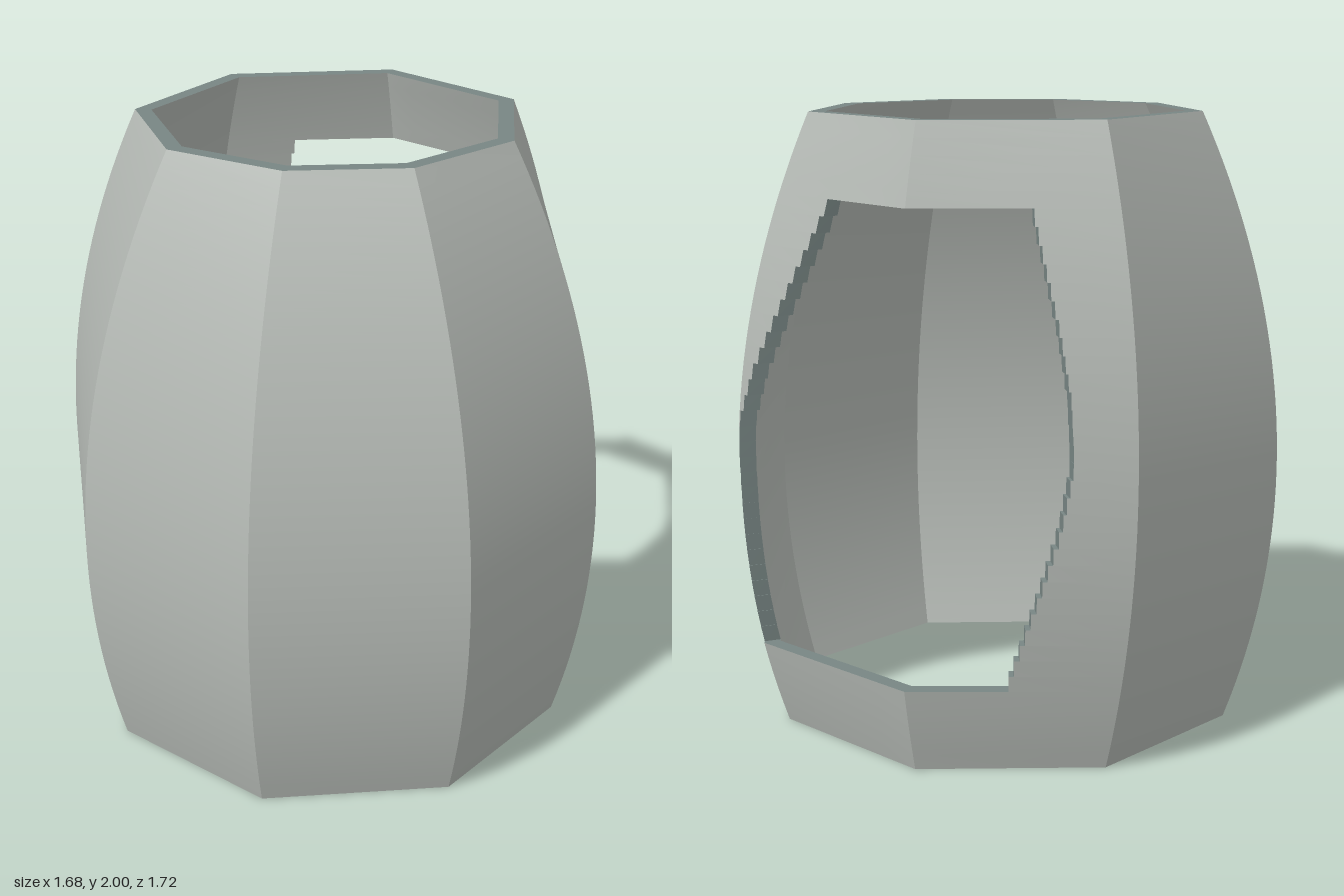
import * as THREE from 'three';
import { toCreasedNormals } from 'three/addons/utils/BufferGeometryUtils.js';

// Corner positions [x, z] of the eight-sided shell at the foot, waist and mouth
const FOOT = [[0.7, -0.27], [0.7, 0.335], [0.28, 0.76], [-0.32, 0.76], [-0.75, 0.335], [-0.75, -0.27], [-0.32, -0.69], [0.28, -0.69]];
const WAIST = [[0.83, -0.32], [0.84, 0.38], [0.315, 0.85], [-0.355, 0.83], [-0.815, 0.36], [-0.83, -0.31], [-0.38, -0.83], [0.34, -0.855]];
const MOUTH = [[0.66, -0.26], [0.6, 0.29], [0.2, 0.565], [-0.22, 0.5], [-0.485, 0.22], [-0.54, -0.19], [-0.275, -0.585], [0.26, -0.65]];
const HEIGHT = 2, THICKNESS = 0.054;

// Window: height, back edge and front edge, measured in corners around the shell
const WINDOW = [[0.28, -0.47, 1.02], [0.6, -0.61, 1.045], [0.8, -0.69, 1.05], [1, -0.74, 1.01], [1.2, -0.73, 0.93], [1.4, -0.69, 0.805], [1.75, -0.59, 0.58]];
const CLOSED = [0.2, 0.2];

// Parabola through foot, waist and mouth
function bulge(a, b, c, y) {
  return a * (y - 1) * (y - 2) / 2 + b * y * (2 - y) + c * y * (y - 1) / 2;
}

function corner(i, y, inner) {
  const k = ((i % 8) + 8) % 8;
  const x = bulge(FOOT[k][0], WAIST[k][0], MOUTH[k][0], y);
  const z = bulge(FOOT[k][1], WAIST[k][1], MOUTH[k][1], y);
  if (!inner) return new THREE.Vector3(x, y, z);
  // inner skin shrinks toward the leaning centre line
  const cx = bulge(-0.025, 0, 0.06, y), cz = bulge(0.035, 0, -0.04, y);
  const f = 1 - THICKNESS / Math.hypot(x - cx, z - cz);
  return new THREE.Vector3(cx + (x - cx) * f, y, cz + (z - cz) * f);
}

function point(s, y, inner = false) {
  const i = Math.floor(s);
  return corner(i, y, inner).lerp(corner(i + 1, y, inner), s - i);
}

function windowAt(y) {
  let i = 0;
  while (i < WINDOW.length - 2 && y > WINDOW[i + 1][0]) i++;
  const [a, b] = [WINDOW[i], WINDOW[i + 1]];
  const t = (y - a[0]) / (b[0] - a[0]);
  return [1, 2].map((k) => a[k] + (b[k] - a[k]) * t);
}

// Cut an interval at the shell corners it crosses
function spans(p, q) {
  const cuts = [p];
  for (let i = Math.floor(p) + 1; i < q; i++) cuts.push(i);
  cuts.push(q);
  return cuts.slice(1).map((c, i) => [cuts[i], c]);
}

function quad(list, a, b, c, d) {
  for (const v of [a, b, c, a, c, d]) list.push(v.x, v.y, v.z);
}

function geometryFrom(list) {
  const geo = new THREE.BufferGeometry();
  geo.setAttribute('position', new THREE.Float32BufferAttribute(list, 3));
  geo.computeVertexNormals();
  return geo;
}

// Horizontal strip across the wall thickness
function ledge(list, p, q, y, up) {
  if (q - p < 1e-5) return;
  for (const [a, b] of spans(p, q)) {
    const pts = [point(a, y), point(a, y, true), point(b, y, true), point(b, y)];
    quad(list, ...(up ? pts : pts.reverse()));
  }
}

export function createModel() {
  const shellGrey = new THREE.MeshStandardMaterial({ color: 0xb5bab5 });
  const edgeGrey = new THREE.MeshStandardMaterial({ color: 0x788684, side: THREE.DoubleSide });
  const outer = [], inner = [], rims = [], frame = [];

  // Stack of rows, each with its own window opening
  const rows = [];
  const addRows = (from, to, n, open) => {
    for (let i = 0; i < n; i++) {
      const y0 = from + (to - from) * i / n, y1 = from + (to - from) * (i + 1) / n;
      rows.push({ y0, y1, gap: open ? windowAt((y0 + y1) / 2) : CLOSED, open });
    }
  };
  addRows(0, 0.28, 5, false);
  addRows(0.28, 1.75, 28, true);
  addRows(1.75, HEIGHT, 5, false);

  rows.forEach(({ y0, y1, gap, open }, r) => {
    // Outer and inner skins
    for (const [p, q] of spans(gap[1], gap[0] + 8)) {
      quad(outer, point(p, y0), point(p, y1), point(q, y1), point(q, y0));
      quad(inner, point(p, y0, true), point(q, y0, true), point(q, y1, true), point(p, y1, true));
    }
    // Upright sides of the window
    if (open) {
      const [b, f] = gap;
      quad(frame, point(b, y0), point(b, y1), point(b, y1, true), point(b, y0, true));
      quad(frame, point(f, y0), point(f, y0, true), point(f, y1, true), point(f, y1));
    }
    // Steps between this row and the next, including the sill and head
    if (r < rows.length - 1) {
      const next = rows[r + 1].gap;
      ledge(frame, Math.min(gap[0], next[0]), Math.max(gap[0], next[0]), y1, next[0] < gap[0]);
      ledge(frame, Math.min(gap[1], next[1]), Math.max(gap[1], next[1]), y1, next[1] > gap[1]);
    }
  });

  // Mouth and foot rims
  ledge(rims, 0, 8, HEIGHT, true);
  ledge(rims, 0, 8, 0, false);

  const group = new THREE.Group();
  group.name = 'barrelShell';
  const add = (name, geo, material) => {
    const mesh = new THREE.Mesh(geo, material);
    mesh.name = name;
    group.add(mesh);
  };
  shellGrey.name = 'shellGrey';
  edgeGrey.name = 'edgeGrey';
  add('outerWall', toCreasedNormals(geometryFrom(outer), 0.4), shellGrey);
  add('innerWall', toCreasedNormals(geometryFrom(inner), 0.4), shellGrey);
  add('rims', geometryFrom(rims), edgeGrey);
  add('windowFrame', geometryFrom(frame), edgeGrey);
  return group;
}
